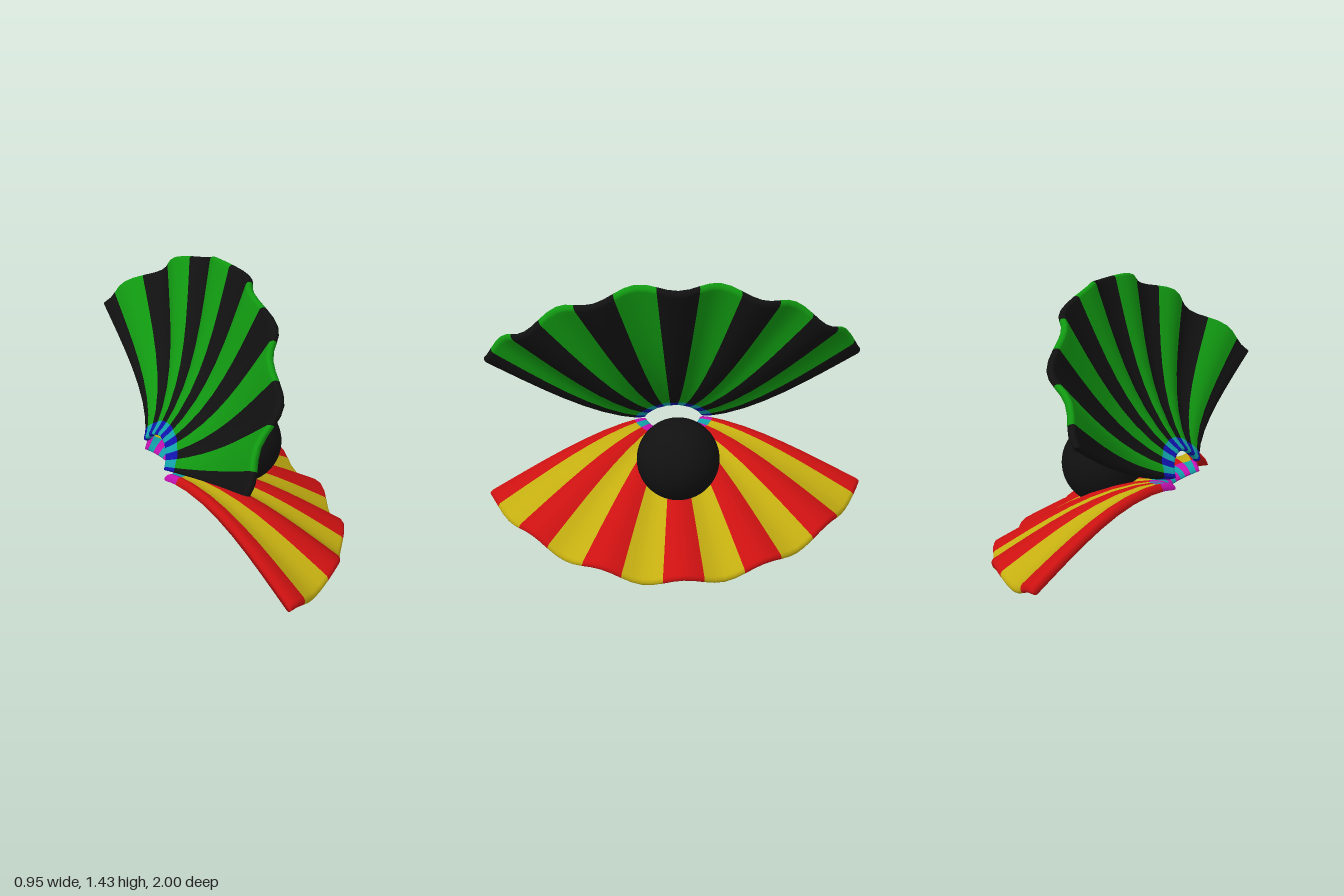
import * as THREE from 'three';

const mat = (name, color) => Object.assign(new THREE.MeshStandardMaterial({ color }), { name });
const DEG = Math.PI / 180;

// Radial stations from hinge (0) to rim (1), denser where the lips are rounded
const S = [0, 0.001, 0.005, 0.012, 0.02, 0.045, 0.08, 0.16, 0.28, 0.4, 0.52, 0.64, 0.76, 0.88, 0.95, 0.98, 0.988, 0.995, 0.999, 1];
const INNER = 0.16, OUTER = 1.094, CENTRE = -0.094, HALF = 66, STRIPE = 11, STEP = 2.75, HINGE = 0.08;

// Half thickness, rounded off at both lips
function halfThickness(s) {
  const d = Math.min(s, 1 - s, 0.02);
  return 0.02 * Math.sqrt(Math.max(0, 1 - ((0.02 - d) / 0.02) ** 2));
}

// Height of the scalloped fan: bowed along its length, drooping at the sides, fluted by stripe
function fanHeight(deg, s) {
  const bow = 0.075 * Math.sin(Math.PI * Math.pow(s, 0.7));
  const droop = 0.015 - 0.155 * (deg / HALF) ** 4;
  const flute = 0.032 * Math.cos(deg / STRIPE * Math.PI);
  return bow + s * (droop + flute);
}

// One shell; along = direction of its middle line, inward = direction towards the inside
function makeShell(name, pivot, along, inward, materials) {
  const loop = S.map(s => [s, 1]).concat(S.slice(1, -1).reverse().map(s => [s, -1]));
  const n = loop.length;
  const rows = [[-HALF, 0]];
  for (let a = -HALF; a <= HALF + 0.01; a += STEP) rows.push([a, 1]);
  rows.push([HALF, 0]); // the end rows close the sides
  const pos = [];
  for (const [deg, thick] of rows) {
    for (const [s, side] of loop) {
      const r = INNER + (OUTER - INNER) * s;
      const u = CENTRE + r * Math.cos(deg * DEG);
      const v = fanHeight(deg, s) + side * thick * halfThickness(s);
      pos.push(pivot[0] + u * along[0] + v * inward[0],
        pivot[1] + u * along[1] + v * inward[1], r * Math.sin(deg * DEG));
    }
  }
  // Faces sorted by colour: stripe A, stripe B, hinge A, hinge B
  const flip = along[0] * inward[1] - along[1] * inward[0] < 0;
  const buckets = [[], [], [], []];
  for (let i = 0; i < rows.length - 1; i++) {
    const mid = (rows[i][0] + rows[i + 1][0]) / 2;
    const odd = Math.abs(Math.round(mid / STRIPE)) % 2;
    for (let j = 0; j < n; j++) {
      const k = (j + 1) % n;
      const hinge = Math.max(loop[j][0], loop[k][0]) <= HINGE ? 2 : 0;
      const a = i * n + j, b = a + n, c = i * n + k, d = c + n;
      buckets[odd + hinge].push(...(flip ? [a, c, b, b, c, d] : [a, b, c, b, d, c]));
    }
  }
  const geo = new THREE.BufferGeometry();
  geo.setAttribute('position', new THREE.Float32BufferAttribute(pos, 3));
  geo.setIndex(buckets.flat());
  let start = 0;
  buckets.forEach((b, m) => {
    geo.addGroup(start, b.length, m);
    start += b.length;
  });
  geo.computeVertexNormals();
  const mesh = new THREE.Mesh(geo, materials);
  mesh.name = name;
  return mesh;
}

export function createModel() {
  const black = mat('black', 0x111111), green = mat('green', 0x119911);
  const red = mat('red', 0xcc1111), yellow = mat('yellow', 0xc4ae11);
  const blue = mat('blue', 0x1111aa), cyan = mat('cyan', 0x11a0a8), magenta = mat('magenta', 0xc411b0);

  const group = new THREE.Group();
  group.name = 'openShell';

  // Two mirrored shells opening from the hinge
  const lo = 25.8 * DEG, up = 63.4 * DEG;
  group.add(makeShell('lowerShell', [-0.44, 0.45], [Math.cos(lo), -Math.sin(lo)],
    [Math.sin(lo), Math.cos(lo)], [red, yellow, magenta, cyan]));
  group.add(makeShell('upperShell', [-0.45, 0.535], [Math.cos(up), Math.sin(up)],
    [Math.sin(up), -Math.cos(up)], [black, green, blue, cyan]));

  // Pearl resting in the lower shell
  const pearl = new THREE.Mesh(new THREE.SphereGeometry(0.214, 48, 32), black);
  pearl.name = 'pearl';
  pearl.position.set(0, 0.477, 0);
  group.add(pearl);
  return group;
}
